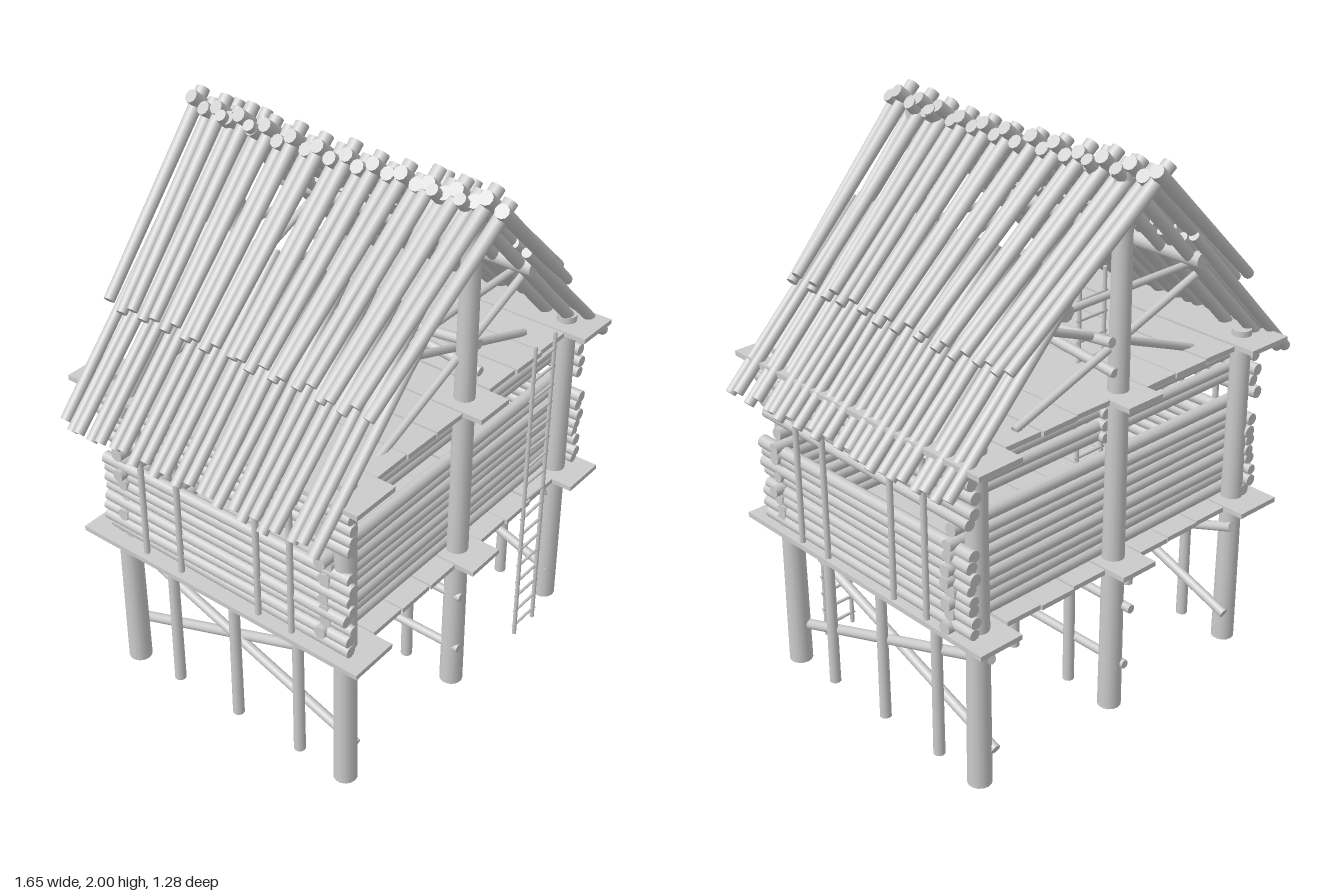
import * as THREE from 'three';

const mat = new THREE.MeshStandardMaterial({ color: 0xcccccc });
const UP = new THREE.Vector3(0, 1, 0);

// Small seeded jitter in the range -s..s
let seed = 7;
const jit = (s) => {
  seed = (seed * 16807) % 2147483647;
  return (seed / 2147483647 * 2 - 1) * s;
};

export function createModel() {
  const model = new THREE.Group();
  model.name = 'stiltHut';

  const group = (name) => {
    const g = new THREE.Group();
    g.name = name;
    model.add(g);
    return g;
  };

  // Round pole from point a to point b
  const pole = (parent, name, a, b, rA, rB = rA, sides = 10) => {
    const A = new THREE.Vector3(...a), B = new THREE.Vector3(...b);
    const dir = B.clone().sub(A);
    const m = new THREE.Mesh(new THREE.CylinderGeometry(rB, rA, dir.length(), sides), mat);
    m.name = name;
    m.position.copy(A).add(B).multiplyScalar(0.5);
    m.quaternion.setFromUnitVectors(UP, dir.normalize());
    parent.add(m);
  };

  // Three rows of stilts: thick outer posts, thin posts in between
  const posts = group('posts');
  const rows = [-0.59, 0.02, 0.63];
  rows.forEach((x, i) => {
    for (const z of [-0.48, 0.48])
      pole(posts, 'mainPost', [x, 0, z], [x, i === 1 ? 1.94 : 1.24, z], 0.042, i === 1 ? 0.032 : 0.035, 14);
    for (const z of [-0.28, 0, 0.28])
      pole(posts, 'thinPost', [x, 0, z], [x, 0.59, z], 0.021, 0.019);
  });

  // Braces under the floor
  const braces = group('stiltBraces');
  for (const [x, s] of [[-0.555, 1], [0.61, -1]]) {
    pole(braces, 'diagonalBrace', [x, 0.13, 0.5], [x, 0.49, -0.52], 0.018);
    pole(braces, 'diagonalBrace', [x + s * 0.015, 0.5, 0.48], [x + s * 0.015, 0.13, -0.52], 0.018);
  }
  pole(braces, 'centreRail', [0, 0.405, 0.52], [0, 0.41, -0.55], 0.016);
  pole(braces, 'centreRail', [0, 0.17, 0.52], [0, 0.175, -0.53], 0.016);

  // Plank decks: overhanging planks at each post row, shorter ones between
  const deck = (name, y) => {
    const g = group(name);
    const edges = [-0.69, -0.5, -0.35, -0.2, -0.06, 0.1, 0.25, 0.4, 0.55, 0.73];
    for (let i = 0; i < edges.length - 1; i++) {
      const long = i % 4 === 0;
      const w = edges[i + 1] - edges[i];
      const m = new THREE.Mesh(new THREE.BoxGeometry(w - 0.006, 0.018, long ? 1.2 : 1.05 + jit(0.015)), mat);
      m.name = 'plank';
      m.position.set((edges[i] + edges[i + 1]) / 2, y + jit(0.003), 0);
      m.rotation.z = jit(0.02);
      g.add(m);
    }
  };
  deck('floor', 0.588);
  deck('atticFloor', 1.207);

  // Log walls with an air gap below the top logs
  const levels = (from, to, n) => Array.from({ length: n }, (_, i) => from + (to - from) * i / (n - 1));
  const endWallLevels = [...levels(0.62, 0.95, 9), ...levels(1.05, 1.18, 4)];
  const sideWallLevels = [...levels(0.62, 0.89, 8), ...levels(1.0, 1.18, 5)];

  for (const [name, z] of [['frontWall', 0.435], ['backWall', -0.435]]) {
    const g = group(name);
    for (const y of endWallLevels)
      pole(g, 'wallLog', [-0.65 + jit(0.02), y + jit(0.006), z + jit(0.006)],
        [0.71 + jit(0.02), y + jit(0.006), z + jit(0.006)], 0.022 + jit(0.002));
  }
  for (const [name, x, s] of [['rightWall', -0.625, -1], ['leftWall', 0.68, 1]]) {
    const g = group(name);
    for (const y of sideWallLevels)
      pole(g, 'wallLog', [x + jit(0.01), y + jit(0.005), 0.53 + jit(0.01)],
        [x + jit(0.01), y + jit(0.005), -0.525 + jit(0.01)], 0.021 + jit(0.002));
    // Upright stakes outside the logs
    for (const z of [-0.33, -0.17, 0.17, 0.31])
      pole(g, 'wallStake', [x + s * 0.03, 0.59, z], [x + s * 0.03, 1.21, z], 0.011);
  }
  const partition = group('partition');
  for (const y of levels(1.05, 1.18, 4))
    pole(partition, 'partitionLog', [0.06, y, 0.47], [0.06, y, -0.47], 0.018);

  // Ladders
  const ladder = (name, x0, x1, z, y0, y1) => {
    const g = group(name);
    for (const x of [x0, x1]) pole(g, 'ladderRail', [x, y0, z], [x, y1, z], 0.008, 0.007, 8);
    for (let y = y0 + 0.04; y < y1 - 0.02; y += 0.072)
      pole(g, 'ladderRung', [x0 - 0.012, y + jit(0.004), z], [x1 + 0.012, y + jit(0.004), z], 0.006, 0.006, 6);
  };
  ladder('outerLadder', 0.355, 0.475, 0.53, 0, 1.26);
  ladder('innerLadder', -0.152, -0.035, -0.25, 0.6, 1.52);

  // Gable frames
  const gables = group('gableFrames');
  for (const z of [0.44, -0.44]) {
    pole(gables, 'collarTie', [-0.4, 1.53, z], [0.38, 1.53, z], 0.013);
    pole(gables, 'gableBrace', [-0.4, 1.515, z - 0.025], [0.46, 1.22, z - 0.025], 0.014);
    pole(gables, 'gableBrace', [0.38, 1.515, z + 0.02], [-0.42, 1.2, z + 0.02], 0.014);
  }
  pole(gables, 'atticBrace', [0.06, 1.4, 0.5], [0.06, 1.29, -0.5], 0.017);
  pole(gables, 'atticBrace', [0.075, 1.29, 0.5], [0.075, 1.4, -0.5], 0.017);

  // Roof, mirrored over the ridge
  for (const s of [-1, 1]) {
    const roof = group(s < 0 ? 'rightRoof' : 'leftRoof');
    pole(roof, 'purlin', [s * 0.305, 1.575, 0.53], [s * 0.305, 1.575, -0.53], 0.028);
    for (const z of [-0.47, -0.35, 0.37, 0.47])
      pole(roof, 'rafter', [s * 0.7, 1.16, z + s * 0.015], [-s * 0.065, 1.955, z + s * 0.015], 0.021);

    const n = 24;
    for (let i = 0; i < n; i++) {
      const t = (i / (n - 1)) * 2 - 1;
      const drop = (i % 2) * 0.028;
      // Upper course fans out towards the ridge
      const sag = 0.018 * t * t;
      pole(roof, 'upperRoofPole',
        [s * (0.54 + jit(0.012)), 1.458 - drop + jit(0.008), t * 0.52 + jit(0.006)],
        [-s * (0.04 + jit(0.012)), 1.957 + sag - drop + jit(0.006), t * 0.61 + s * 0.008], 0.019, 0.024);
      // Lower course tucked beneath it
      pole(roof, 'lowerRoofPole',
        [s * (0.8 + jit(0.015)), 1.125 - drop * 0.6 + jit(0.008), t * 0.525 + jit(0.008)],
        [s * 0.25, 1.675 - drop * 0.6, t * 0.535 + jit(0.006)], 0.019, 0.018);
    }
  }

  return model;
}
